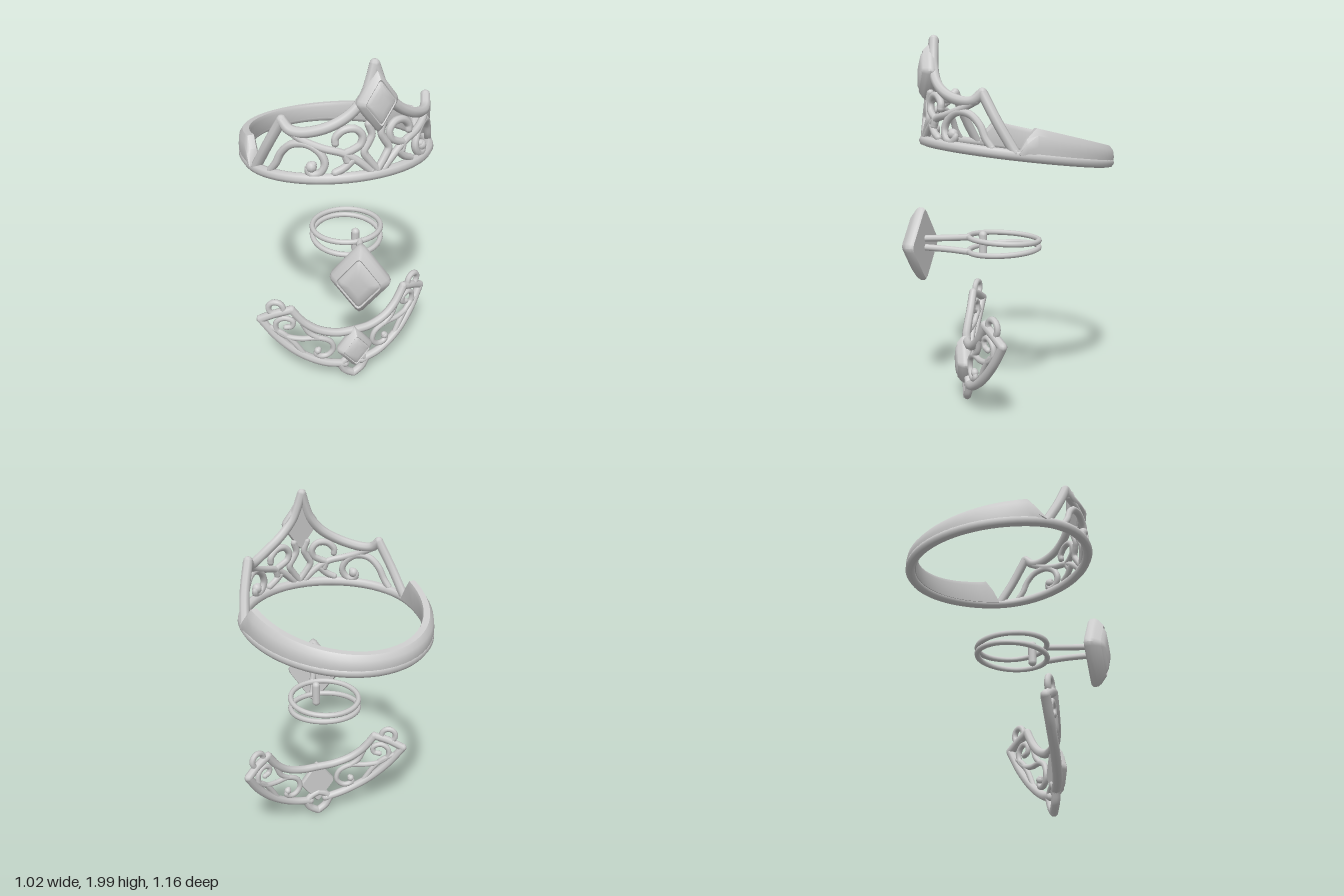
import * as THREE from 'three';
import { toCreasedNormals } from 'three/addons/utils/BufferGeometryUtils.js';

const silver = new THREE.MeshStandardMaterial({ color: 0xcccccc });
silver.name = 'silver grey';

const V = (x, y, z) => new THREE.Vector3(x, y, z);
const RAD = Math.PI / 180;

function add(parent, name, geometry) {
  const mesh = new THREE.Mesh(geometry, silver);
  mesh.name = name;
  parent.add(mesh);
  return mesh;
}

// Round wire through points, with rounded ends unless it is a closed loop
function wire(parent, name, pts, r, closed = false, seg = pts.length * 5) {
  const curve = new THREE.CatmullRomCurve3(pts, closed, 'centripetal');
  add(parent, name, new THREE.TubeGeometry(curve, seg, r, 8, closed));
  if (closed) return;
  for (const p of [pts[0], pts[pts.length - 1]]) {
    add(parent, name + 'End', new THREE.SphereGeometry(r, 8, 6)).position.copy(p);
  }
}

// Surface through cross-sections that all have the same number of points
function loft(sections, closeEnds = false) {
  const n = sections[0].length, pos = [], idx = [];
  sections.forEach(s => s.forEach(p => pos.push(p.x, p.y, p.z)));
  for (let i = 0; i < sections.length - 1; i++) {
    for (let j = 0; j < n; j++) {
      const a = i * n + j, b = i * n + (j + 1) % n;
      idx.push(a, b, b + n, a, b + n, a + n);
    }
  }
  if (closeEnds) {
    const last = (sections.length - 1) * n;
    for (let j = 1; j < n - 1; j++) idx.push(0, j + 1, j, last, last + j, last + j + 1);
  }
  const g = new THREE.BufferGeometry();
  g.setAttribute('position', new THREE.Float32BufferAttribute(pos, 3));
  g.setIndex(idx);
  return toCreasedNormals(g, 0.75);
}

// Bevelled lozenge stone with rounded corners, facing +z
function gem(parent, name, w, h, depth) {
  const tips = [[w, 0], [0, h], [-w, 0], [0, -h]];
  const outline = [];
  tips.forEach((t, i) => {
    const prev = tips[(i + 3) % 4], next = tips[(i + 1) % 4];
    const mix = o => [t[0] + (o[0] - t[0]) * 0.11, t[1] + (o[1] - t[1]) * 0.11];
    const a = mix(prev), b = mix(next);
    outline.push(a, [(a[0] + b[0] + 2 * t[0]) / 4, (a[1] + b[1] + 2 * t[1]) / 4], b);
  });
  const layers = [[0.001, 0], [0.97, 0], [1.03, 0.12], [1.03, 0.38], [0.96, 0.55], [0.76, 0.85],
    [0.71, 0.79], [0.58, 0.95], [0.3, 1.02], [0.001, 1.04]];
  return add(parent, name, loft(layers.map(([s, z]) =>
    outline.map(([x, y]) => V(x * s, y * s, z * depth)))));
}

// Point on the tilted oval: angle from the front, height above it, outward shift
const TURN = 6 * RAD;
function oval(deg, h = 0, out = 0) {
  const a = deg * RAD, c = Math.cos(a), lean = 1 - 0.25 * h;
  const lx = Math.sin(a) * (0.475 + out) * lean;
  const lz = c * ((c > 0 ? 0.43 : 0.573) + out) * lean;
  const x = lx * Math.cos(TURN) + lz * Math.sin(TURN);
  const z = lz * Math.cos(TURN) - lx * Math.sin(TURN) + 0.03;
  return V(x, 1.397 + 0.122 * z + h, z);
}

function makeTiara() {
  const g = new THREE.Group();
  g.name = 'tiara';
  const loop = [];
  for (let i = 0; i < 32; i++) loop.push(oval(i * 11.25));
  wire(g, 'baseHoop', loop, 0.027, true, 64);

  // Tall band round the back, with sloping ends
  const profile = [[-0.03, 0.8], [-0.02, 1], [0.014, 1], [0.03, 0.75], [0.03, 0.35], [0.02, 0], [-0.03, 0]];
  const sections = [];
  for (let i = 0; i <= 36; i++) {
    const a = 84 + (192 * i) / 36;
    const fromEnd = Math.min(a - 84, 276 - a);
    const back = Math.max(0, -Math.cos(a * RAD));
    const top = Math.min(0.01 + fromEnd * 0.0135, 0.145 - 0.06 * back);
    sections.push(profile.map(([o, t]) => oval(a, t * top, o)));
  }
  add(g, 'backBand', loft(sections, true));

  // Crest and scrollwork, as [angle, height], mirrored
  const crest = [[0, 0.522], [3, 0.455], [7, 0.385], [16, 0.308], [30, 0.25], [46, 0.225], [54, 0.235], [60, 0.275]];
  const strut = [[60, 0.275], [71, 0.14], [82, 0.01]];
  const scrolls = {
    outerScroll: [[38, 0.07], [41, 0.05], [39, 0.025], [34, 0.03], [31, 0.075], [34, 0.13], [42, 0.17],
      [52, 0.165], [59, 0.12], [63, 0.06], [67, 0.02]],
    sweep: [[4, 0.02], [12, 0.08], [21, 0.125], [32, 0.15], [44, 0.185], [56, 0.235]],
    innerCurl: [[25, 0.175], [25, 0.2], [20, 0.235], [13, 0.235], [9, 0.2], [10, 0.16], [15, 0.135], [19, 0.12], [18, 0.085]],
    midCurl: [[15, 0.085], [20, 0.05], [25, 0.03]],
    centreFrame: [[0, 0.02], [5, 0.075], [8, 0.12], [5, 0.165], [3, 0.2], [5, 0.25]],
  };
  for (const s of [1, -1]) {
    const path = pts => pts.map(([a, h]) => oval(s * a, h));
    wire(g, 'crestRail', path(crest), 0.026);
    wire(g, 'crestStrut', path(strut), 0.026);
    for (const [name, pts] of Object.entries(scrolls)) wire(g, name, path(pts), 0.019);
    add(g, 'scrollBall', new THREE.SphereGeometry(0.027, 10, 8)).position.copy(oval(s * 39, 0.06));
  }

  const stone = gem(g, 'tiaraGem', 0.107, 0.147, 0.075);
  stone.position.copy(oval(0, 0.355));
  stone.position.z -= 0.01;
  stone.rotation.set(-0.11, TURN, 0, 'YXZ');
  return g;
}

function makeRing() {
  const g = new THREE.Group();
  g.name = 'fingerRing';
  const mid = 0.893;
  for (const s of [1, -1]) {
    const pts = [];
    for (let i = 0; i < 24; i++) {
      const a = i * 15 * RAD;
      const c = Math.cos(a);
      pts.push(V(0.045 + 0.188 * Math.sin(a), mid + s * (0.029 + 0.011 * c), 0.04 + 0.192 * c));
    }
    wire(g, 'ringHoop', pts, 0.015, true, 40);
    wire(g, 'ringArm', [V(0.05, mid + s * 0.04, 0.235), V(0.012, mid + s * 0.032, 0.33),
      V(-0.03, mid + s * 0.025, 0.46)], 0.018);
  }
  add(g, 'ringPin', new THREE.CapsuleGeometry(0.023, 0.1, 4, 10)).position.set(0.055, mid, 0.155);
  const stone = gem(g, 'ringGem', 0.158, 0.208, 0.1);
  stone.position.set(-0.03, 0.885, 0.46);
  stone.rotation.y = -0.5;
  return g;
}

// Point on the curved collar
const collar = (u, y) => V(u + 0.02 * (1 - 4 * u * u), y, 0.245 - 0.6 * u * u);

function makeNecklace() {
  const g = new THREE.Group();
  g.name = 'necklace';
  const rails = {
    upperRail: [[0, 0.345], [0.1, 0.35], [0.2, 0.383], [0.27, 0.437], [0.31, 0.49], [0.335, 0.53]],
    lowerRail: [[0.05, 0.11], [0.17, 0.143], [0.3, 0.22], [0.41, 0.335], [0.485, 0.455]],
    endBar: [[0.335, 0.53], [0.41, 0.5], [0.485, 0.455]],
  };
  const scrolls = {
    longScroll: [[0.2, 0.24], [0.215, 0.21], [0.19, 0.19], [0.15, 0.195], [0.12, 0.235], [0.135, 0.29],
      [0.2, 0.325], [0.29, 0.325], [0.36, 0.34], [0.41, 0.385], [0.41, 0.44], [0.37, 0.47], [0.33, 0.45],
      [0.335, 0.415], [0.365, 0.405]],
    sideSweep: [[0.44, 0.4], [0.38, 0.36], [0.33, 0.3], [0.28, 0.215]],
    topSweep: [[0.2, 0.325], [0.25, 0.365], [0.28, 0.43]],
  };
  for (const s of [1, -1]) {
    const path = pts => pts.map(([u, y]) => collar(s * u, y));
    for (const [name, pts] of Object.entries(rails)) wire(g, name, path(pts), 0.024);
    for (const [name, pts] of Object.entries(scrolls)) wire(g, name, path(pts), 0.016);
    add(g, 'scrollBall', new THREE.SphereGeometry(0.021, 10, 8)).position.copy(collar(s * 0.205, 0.232));
    const eye = add(g, 'chainLoop', new THREE.TorusGeometry(0.042, 0.017, 8, 18));
    eye.position.copy(collar(s * 0.41, 0.535));
    eye.rotation.y = s * 0.47;
    // Small open drop under the stone
    wire(g, 'dropUpper', path([[0, 0.16], [0.04, 0.145], [0.078, 0.11]]), 0.021);
    wire(g, 'dropLower', path([[0.078, 0.11], [0.05, 0.06], [0, 0.024]]), 0.023);
  }
  gem(g, 'necklaceGem', 0.109, 0.14, 0.075).position.set(0.02, 0.235, 0.235);
  return g;
}

export function createModel() {
  const model = new THREE.Group();
  model.name = 'jewellerySet';
  model.add(makeTiara(), makeRing(), makeNecklace());
  return model;
}
